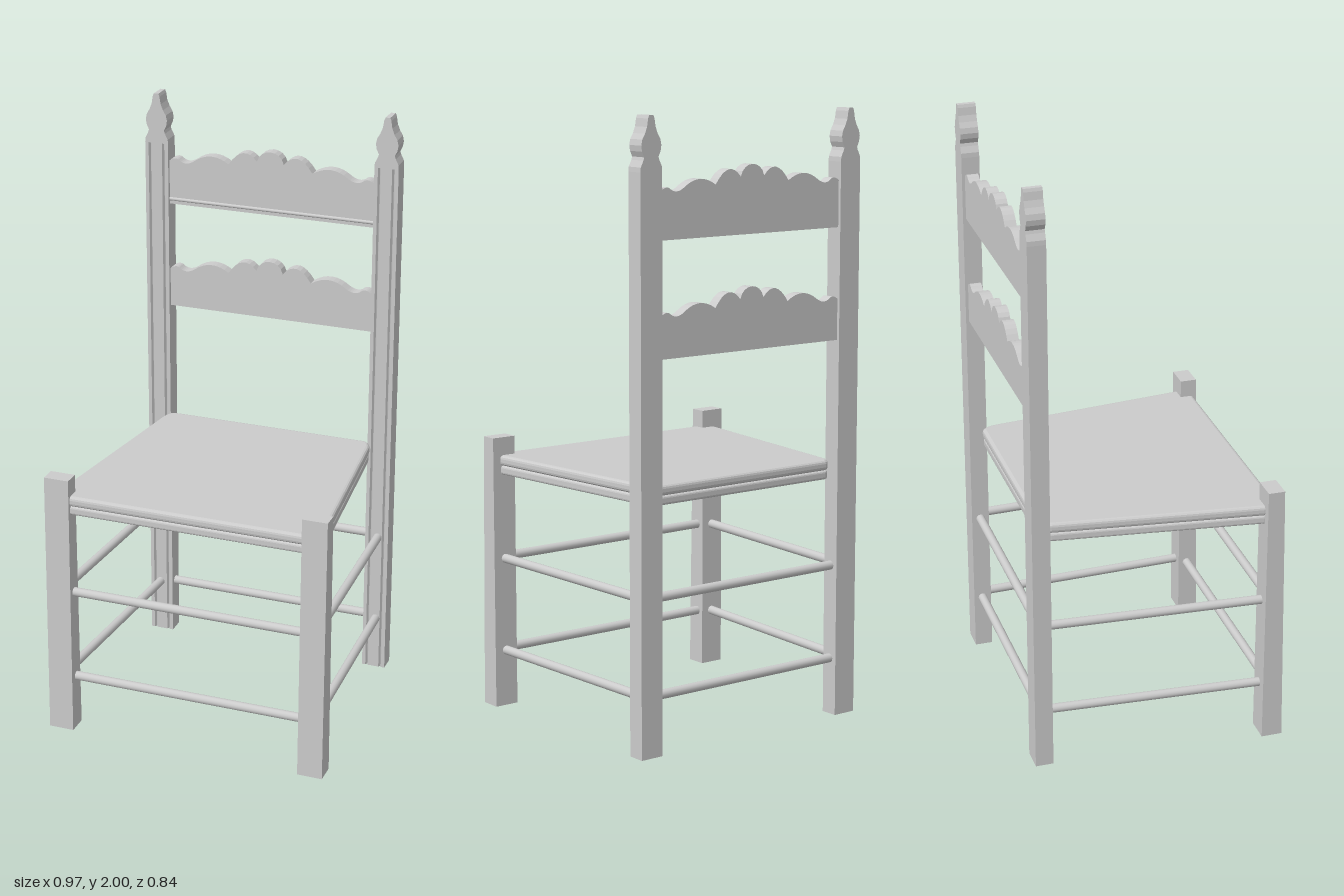
import * as THREE from 'three';

const material = new THREE.MeshStandardMaterial({ color: 0xcccccc, side: THREE.DoubleSide });
const BACK_SHIFT = 0.011; // the back frame sits slightly off centre

function add(group, name, geometry) {
  const mesh = new THREE.Mesh(geometry, material);
  mesh.name = name;
  group.add(mesh);
  return mesh;
}

// Extrude a plan outline given in (x, -z) upward from y0 to y1
function extrudeUp(shape, y0, y1, bevel = 0) {
  const g = new THREE.ExtrudeGeometry(shape, {
    depth: y1 - y0 - 2 * bevel, bevelEnabled: bevel > 0, bevelSize: bevel,
    bevelThickness: bevel, bevelOffset: -bevel, bevelSegments: 3, curveSegments: 8,
  });
  return g.rotateX(-Math.PI / 2).translate(0, y0 + bevel, 0);
}

// Extrude a front outline from z0 to z1
function extrudeForward(shape, z0, z1) {
  return new THREE.ExtrudeGeometry(shape, { depth: z1 - z0, bevelEnabled: false, curveSegments: 8 })
    .translate(0, 0, z0);
}

function rod(group, name, a, b, radius) {
  const from = new THREE.Vector3(...a), to = new THREE.Vector3(...b);
  const mesh = add(group, name, new THREE.CylinderGeometry(radius, radius, from.distanceTo(to), 16));
  mesh.position.copy(from).add(to).multiplyScalar(0.5);
  mesh.quaternion.setFromUnitVectors(new THREE.Vector3(0, 1, 0), to.sub(from).normalize());
}

// Square post with two narrow grooves on its front face
function postGeometry() {
  const w = 0.041, shape = new THREE.Shape();
  shape.moveTo(-w, 0.42);
  shape.lineTo(-w, 0.36);
  for (const x of [-0.024, 0.024]) {
    shape.lineTo(x - 0.005, 0.36);
    shape.lineTo(x, 0.368);
    shape.lineTo(x + 0.005, 0.36);
  }
  shape.lineTo(w, 0.36);
  shape.lineTo(w, 0.42);
  return extrudeUp(shape, 0, 1.83);
}

// Flat finial sawn to a shoulder, neck, bulb and tip
function finialGeometry() {
  const half = [[0.041, 1.83], [0.04, 1.845], [0.03, 1.865], [0.027, 1.875], [0.035, 1.892],
    [0.038, 1.91], [0.034, 1.928], [0.024, 1.945], [0.016, 1.965], [0.012, 1.99], [0.008, 2]];
  const mirrored = half.map(([x, y]) => [-x, y]).reverse();
  const shape = new THREE.Shape([...half, ...mirrored].map(p => new THREE.Vector2(...p)));
  return extrudeForward(shape, -0.42, -0.36);
}

// Slat with a lobed crest, each lobe a curve between two cusps
function slatGeometry(y, drop) {
  // [control x, control height, end x, end height] from the centre lobe outward
  const lobes = [[0.095, 0.222, 0.147, 0.143], [0.21, 0.185, 0.27, 0.14],
    [0.30, 0.12, 0.322, 0.137], [0.338, 0.152, 0.363, 0.13]];
  const shape = new THREE.Shape();
  shape.moveTo(-0.363, y - drop);
  shape.lineTo(0.363, y - drop);
  shape.lineTo(0.363, y + 0.13);
  const cusps = [[0.047, 0.163], ...lobes.map(l => [l[2], l[3]])];
  for (let i = lobes.length - 1; i >= 0; i--)
    shape.quadraticCurveTo(lobes[i][0], y + lobes[i][1], cusps[i][0], y + cusps[i][1]);
  shape.bezierCurveTo(0.035, y + 0.213, -0.035, y + 0.213, -0.047, y + 0.163);
  for (const [cx, cy, x, h] of lobes) shape.quadraticCurveTo(-cx, y + cy, -x, y + h);
  shape.lineTo(-0.363, y - drop);
  return extrudeForward(shape, -0.41, -0.372).translate(BACK_SHIFT - 0.002, 0, 0);
}

// Trapezoid seat plan with rounded back corners
function seatShape(inset) {
  const s = new THREE.Shape(), front = -0.395 + inset, b = BACK_SHIFT - 0.002;
  s.moveTo(-0.456 + inset, front);
  s.lineTo(0.456 - inset, front);
  s.lineTo(0.456 - inset, -0.345);
  s.lineTo(0.378 + b - inset, 0.325);
  s.quadraticCurveTo(0.372 + b - inset, 0.372, 0.345 + b, 0.378 - inset);
  s.lineTo(-0.345 + b, 0.378 - inset);
  s.quadraticCurveTo(-0.372 + b + inset, 0.372, -0.378 + b + inset, 0.325);
  s.lineTo(-0.456 + inset, -0.345);
  return s;
}

export function createModel() {
  const chair = new THREE.Group();
  chair.name = 'chair';

  for (const side of [-1, 1]) {
    const label = side > 0 ? 'left' : 'right';

    // Front leg, its front face leaning out toward the foot
    const leg = new THREE.BoxGeometry(0.085, 0.915, 0.055).translate(side * 0.441, 0.4575, 0.3755);
    const p = leg.attributes.position;
    for (let i = 0; i < p.count; i++)
      if (p.getY(i) < 0.1 && p.getZ(i) > 0.38) p.setZ(i, 0.418);
    leg.computeVertexNormals();
    add(chair, label + 'FrontLeg', leg);

    // Back post and finial
    const backX = side * 0.401 + BACK_SHIFT;
    add(chair, label + 'BackPost', postGeometry().translate(backX, 0, 0));
    add(chair, label + 'Finial', finialGeometry().translate(backX, 0, 0));
  }

  // Two rows of round stretchers on all four sides
  for (const [row, y] of [['lower', 0.19], ['upper', 0.505]]) {
    rod(chair, row + 'FrontStretcher', [-0.42, y, 0.378], [0.42, y, 0.378], 0.015);
    rod(chair, row + 'BackStretcher', [-0.39, y, -0.39], [0.41, y, -0.39], 0.015);
    for (const side of [-1, 1])
      rod(chair, row + (side > 0 ? 'Left' : 'Right') + 'Stretcher',
        [side * 0.441, y, 0.37], [side * 0.404 + BACK_SHIFT, y, -0.38], 0.015);
  }

  // Seat panel over its frame
  add(chair, 'seatPanel', extrudeUp(seatShape(0), 0.82, 0.855, 0.012));
  add(chair, 'seatFrame', extrudeUp(seatShape(0.003), 0.79, 0.82, 0.008));

  // Back slats, the upper one with a bead along its foot
  add(chair, 'lowerSlat', slatGeometry(1.255, 0));
  add(chair, 'upperSlat', slatGeometry(1.637, 0.017));
  rod(chair, 'slatBead', [-0.354, 1.637, -0.373], [0.372, 1.637, -0.373], 0.006);

  return chair;
}
